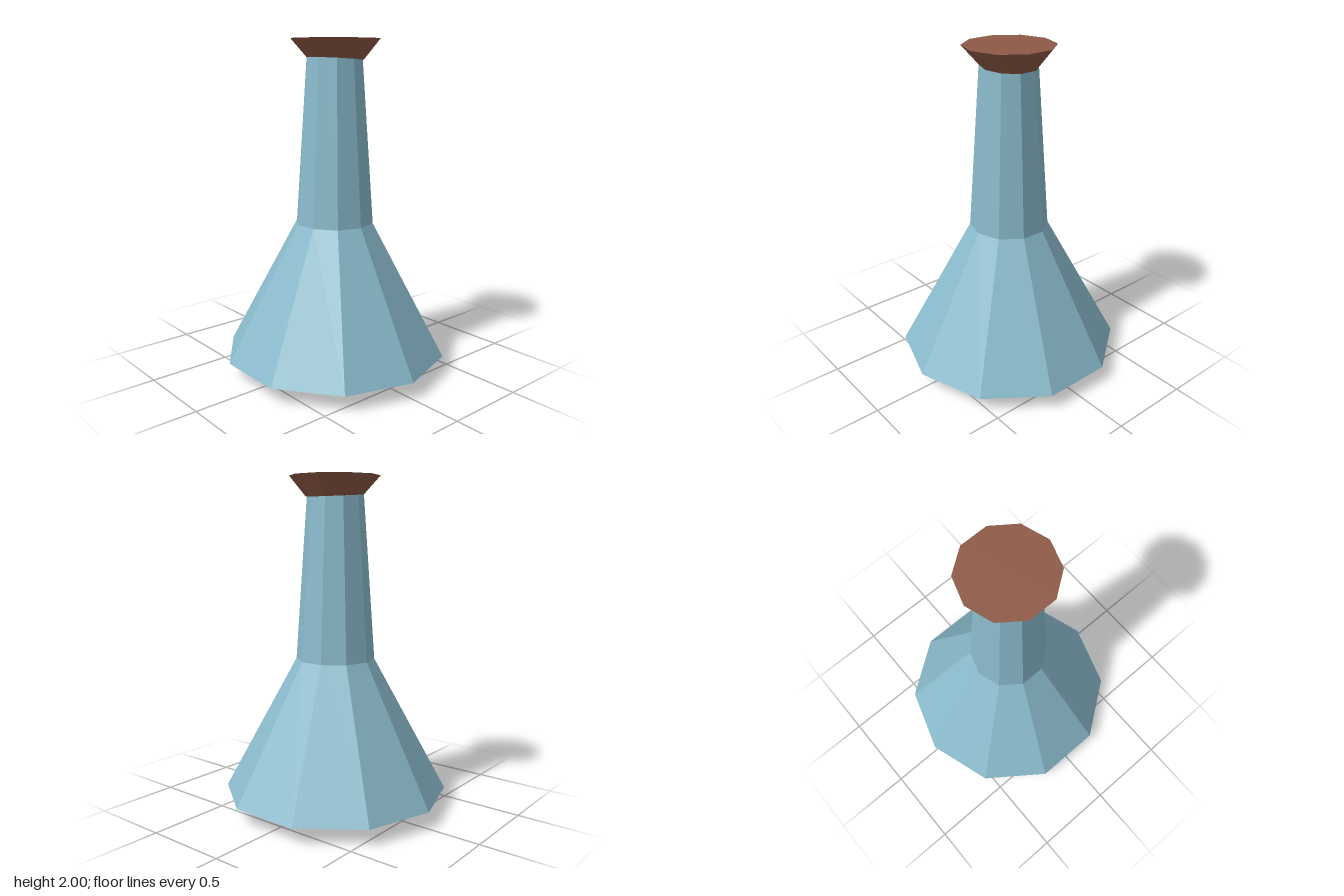
import * as THREE from 'three';

const SIDES = 10;

// Faceted solid of revolution; its rim near seamY is tilted slightly sideways
function turned(name, profile, material, seamY) {
  const points = profile.map(([r, y]) => new THREE.Vector2(r, y));
  const geometry = new THREE.LatheGeometry(points, SIDES);
  const pos = geometry.attributes.position;
  for (let i = 0; i < pos.count; i++) {
    if (Math.abs(pos.getY(i) - seamY) < 0.01) pos.setY(i, seamY - 0.06 * pos.getX(i));
  }
  geometry.computeVertexNormals();
  const mesh = new THREE.Mesh(geometry, material);
  mesh.name = name;
  return mesh;
}

export function createModel() {
  const glass = new THREE.MeshStandardMaterial({ color: 0x8abbcc, flatShading: true });
  glass.name = 'blue glass';
  const cork = new THREE.MeshStandardMaterial({ color: 0x8e5945, flatShading: true });
  cork.name = 'brown cork';

  const seamY = 1.885;
  const flask = new THREE.Group();
  flask.name = 'flask';

  // Shallow foot and conical body
  flask.add(turned('body', [[0, 0], [0.28, 0], [0.68, 0.1], [0.237, 0.915]], glass, seamY));

  // Tapering neck, closed under the stopper
  flask.add(turned('neck', [[0.237, 0.915], [0.168, seamY], [0, seamY]], glass, seamY));

  // Flared stopper, slightly off centre
  const stopper = turned('stopper', [[0, seamY], [0.17, seamY], [0.268, 2], [0, 2]], cork, seamY);
  stopper.position.x = 0.005;
  flask.add(stopper);

  return flask;
}
